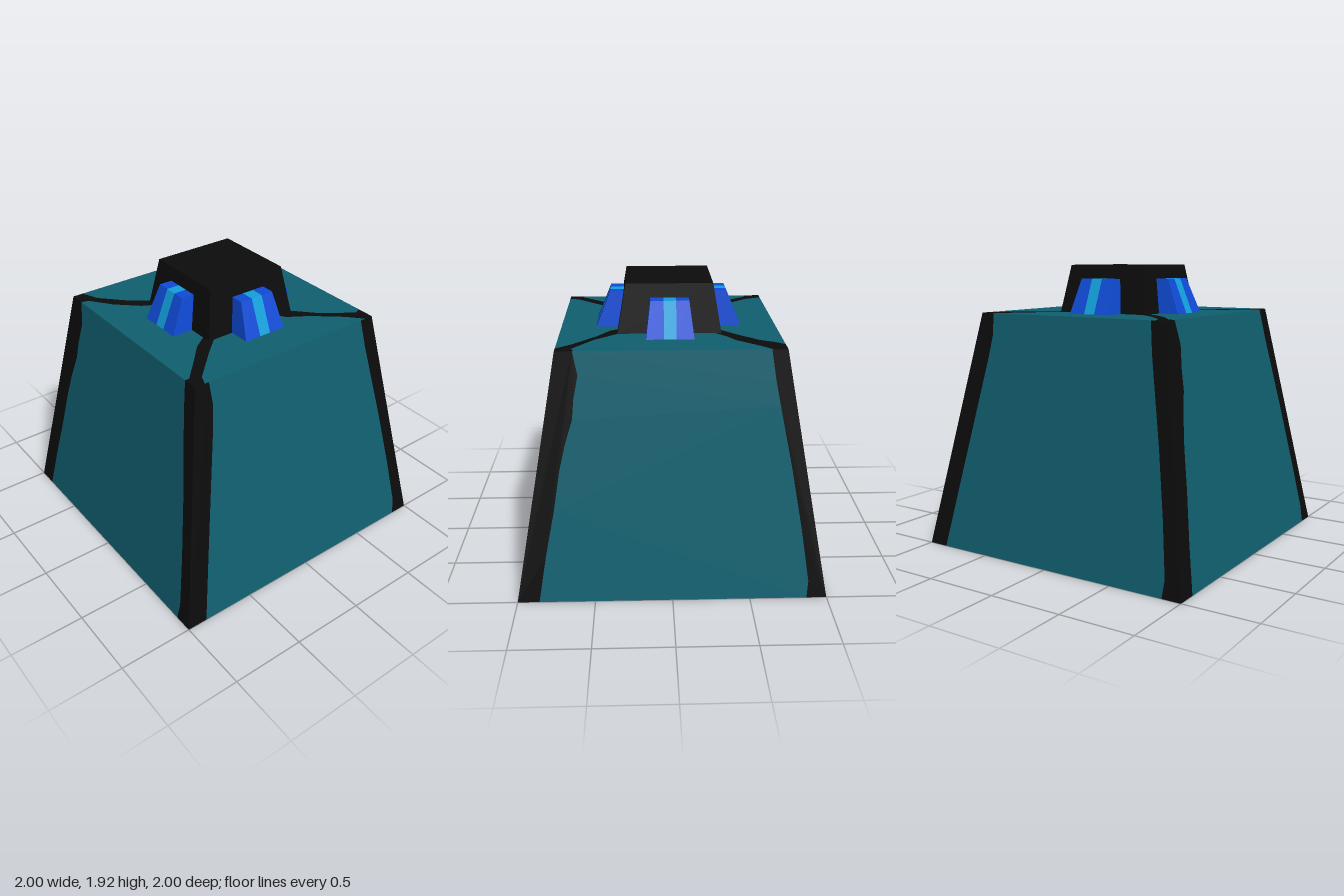
import * as THREE from 'three';

const mat = (name, color) => Object.assign(new THREE.MeshStandardMaterial({ color }), { name });

const HEIGHT = 1.6, SLOPE = 0.175, TOP = 0.72;

export function createModel() {
  const teal = mat('teal', 0x105f6f);
  const black = mat('black', 0x0c0c0c);
  const blue = mat('blue', 0x0f4bd6);
  const cyan = mat('cyan', 0x12a0dc);
  const model = new THREE.Group();
  model.name = 'keycap';

  const add = (parent, geometry, material, name) => {
    const mesh = new THREE.Mesh(geometry, material);
    mesh.name = name;
    parent.add(mesh);
    return mesh;
  };
  const patch = (points) =>
    new THREE.ShapeGeometry(new THREE.Shape(points.map(([x, y]) => new THREE.Vector2(x, y))));

  // Sloping walls: teal panel between two uneven black corner bands
  const rightEdge = [[0.87, 0], [0.88, 0.11], [0.83, 0.45], [0.76, 0.85], [0.68, 1.25], [0.65, 1.4], [0.62, HEIGHT]];
  const leftEdges = [
    [[-0.86, 0], [-0.81, 0.3], [-0.75, 0.6], [-0.71, 0.85], [-0.67, 1.02], [-0.62, 1.18], [-0.61, 1.3], [-0.58, 1.45], [-0.61, HEIGHT]],
    [[-0.86, 0], [-0.79, 0.4], [-0.71, 0.85], [-0.63, 1.3], [-0.61, 1.45], [-0.62, HEIGHT]],
  ];
  const wallPatch = (points) => {
    const geometry = patch(points);
    const p = geometry.attributes.position;
    for (let i = 0; i < p.count; i++) p.setZ(i, 1 - SLOPE * p.getY(i));
    geometry.computeVertexNormals();
    return geometry;
  };
  for (let i = 0; i < 4; i++) {
    const wall = new THREE.Group();
    wall.name = 'wall';
    wall.rotation.y = (i * Math.PI) / 2;
    const left = leftEdges[i % 2];
    add(wall, wallPatch([...left, ...[...rightEdge].reverse()]), teal, 'wallPanel');
    add(wall, wallPatch([[-1, 0], ...left, [-TOP, HEIGHT]]), black, 'leftBand');
    add(wall, wallPatch([[1, 0], ...rightEdge, [TOP, HEIGHT]]), black, 'rightBand');
    model.add(wall);
  }

  // Top face: four black arms, each with a clockwise and a counter-clockwise edge, outer end first
  const arms = [
    { corner: [TOP, TOP],
      ccw: [[0.62, TOP], [0.6, 0.73 - 0.01], [0.62, 0.67], [0.49, 0.48], [0.33, 0.33]],
      cw: [[TOP, 0.66], [0.62, 0.57], [0.47, 0.39], [0.39, 0.26], [0.33, 0.22]] },
    { corner: [-TOP, TOP],
      ccw: [[-TOP, 0.61], [-0.66, 0.56], [-0.57, 0.51], [-0.43, 0.37], [-0.33, 0.25]],
      cw: [[-0.63, TOP], [-0.57, 0.65], [-0.42, 0.51], [-0.36, 0.41], [-0.29, 0.33]] },
    { corner: [-TOP, -TOP],
      ccw: [[-0.61, -TOP], [-0.6, -0.67], [-0.45, -0.56], [-0.32, -0.42], [-0.27, -0.33]],
      cw: [[-TOP, -0.65], [-0.6, -0.6], [-0.45, -0.46], [-0.36, -0.35], [-0.33, -0.29]] },
    { corner: [TOP, -TOP],
      ccw: [[TOP, -0.65], [0.65, -0.62], [0.57, -0.54], [0.45, -0.42], [0.33, -0.29]],
      cw: [[0.62, -TOP], [0.62, -0.69], [0.45, -0.53], [0.35, -0.44], [0.27, -0.33]] },
  ];
  const topPatch = (points) => patch(points).rotateX(-Math.PI / 2).translate(0, HEIGHT, 0);
  arms.forEach((arm, i) => {
    const next = arms[(i + 1) % 4];
    add(model, topPatch([arm.corner, ...arm.ccw, ...[...arm.cw].reverse()]), black, 'topArm');
    add(model, topPatch([...arm.ccw, ...[...next.cw].reverse()]), teal, 'topPanel');
  });

  // Underside with black corners
  const cut = [[0.87, 1], [0.89, 0.94], [0.94, 0.89], [1, 0.87]];
  const quarter = (points, i) => points.map(([x, y]) => [[x, y], [-y, x], [-x, -y], [y, -x]][i]);
  const underside = [];
  for (let i = 0; i < 4; i++) {
    const corner = quarter(cut, i);
    underside.push(...[...corner].reverse());
    add(model, patch([...corner, ...quarter([[1, 1]], i)]).rotateX(Math.PI / 2), black, 'undersideCorner');
  }
  add(model, patch(underside).rotateX(Math.PI / 2), teal, 'underside');

  // Tapered black cap
  const capHeight = 0.32;
  const cap = new THREE.CylinderGeometry(0.285 * Math.SQRT2, 0.34 * Math.SQRT2, capHeight, 4)
    .rotateY(Math.PI / 4).toNonIndexed();
  cap.computeVertexNormals();
  add(model, cap, black, 'cap').position.y = HEIGHT + capHeight / 2;

  // Blue wedges around the cap, each with a cyan middle stripe
  const bottomX = [-0.155, -0.04, 0.04, 0.155], topX = [-0.125, -0.04, 0.04, 0.125];
  const wedgeStrip = (k) => {
    const geometry = new THREE.BoxGeometry(1, 1, 1).toNonIndexed();
    const p = geometry.attributes.position;
    for (let i = 0; i < p.count; i++) {
      const up = p.getY(i) > 0;
      const side = p.getX(i) > 0 ? k + 1 : k;
      const outer = p.getZ(i) > 0;
      p.setXYZ(i, (up ? topX : bottomX)[side], up ? 1.83 : HEIGHT, outer ? (up ? 0.39 : 0.485) : 0.27);
    }
    geometry.computeVertexNormals();
    return geometry;
  };
  for (let i = 0; i < 4; i++) {
    const wedge = new THREE.Group();
    wedge.name = 'wedge';
    wedge.rotation.y = (i * Math.PI) / 2;
    [blue, cyan, blue].forEach((m, k) => add(wedge, wedgeStrip(k), m, k === 1 ? 'wedgeStripe' : 'wedgeSide'));
    model.add(wedge);
  }
  return model;
}
